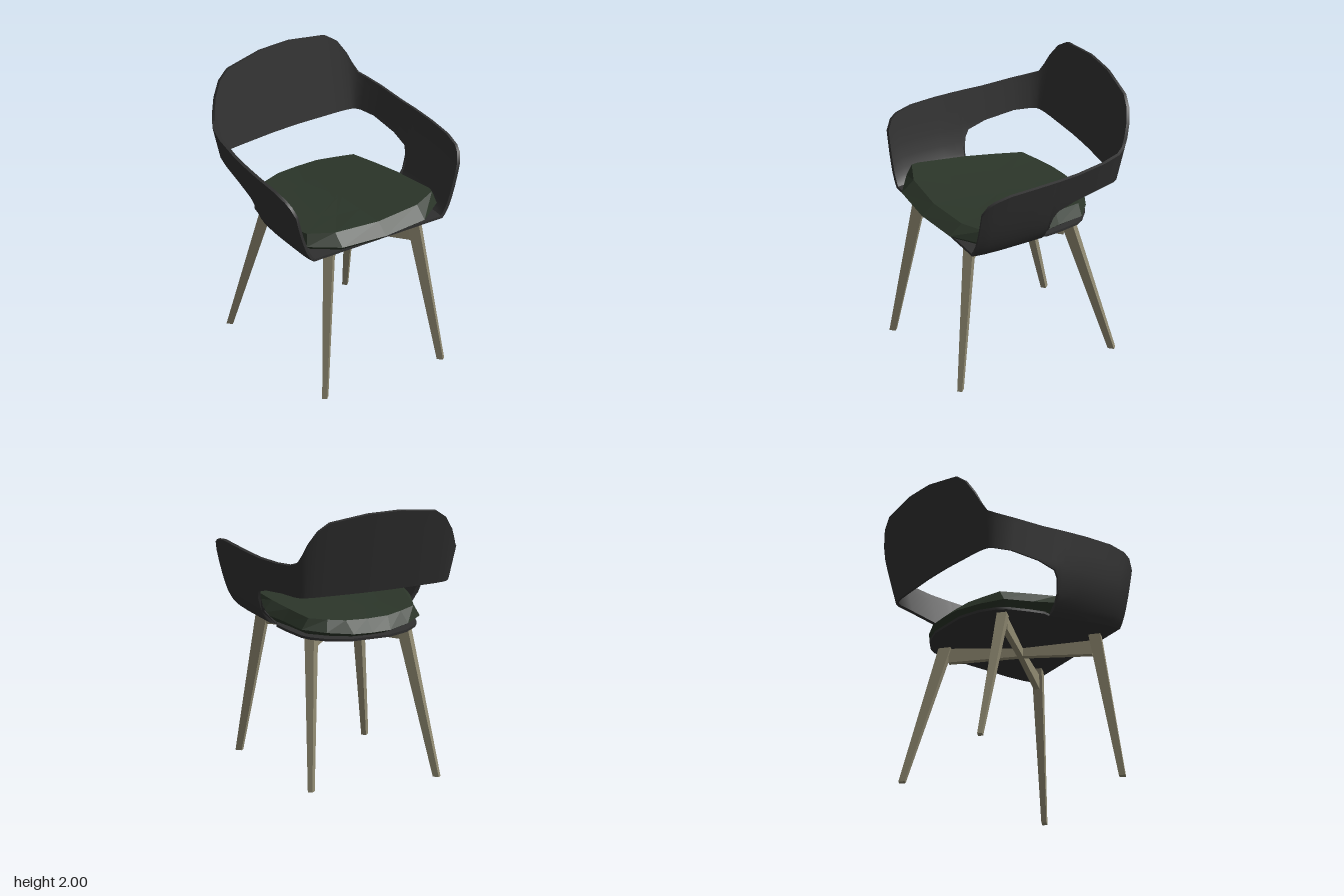
import * as THREE from 'three';
import { toCreasedNormals } from 'three/addons/utils/BufferGeometryUtils.js';

const shellMat = new THREE.MeshStandardMaterial({ color: 0x303030 });
const cushionMat = new THREE.MeshStandardMaterial({ color: 0x2b3529, flatShading: true });
const woodMat = new THREE.MeshStandardMaterial({ color: 0x8f8971, flatShading: true });

const build = (pts, index) => {
  const g = new THREE.BufferGeometry();
  g.setAttribute('position', new THREE.Float32BufferAttribute(pts.flat(), 3));
  g.setIndex(index);
  return g;
};

function addMesh(parent, geometry, material, name) {
  const mesh = new THREE.Mesh(geometry, material);
  mesh.name = name;
  parent.add(mesh);
  return mesh;
}

// Closed solid from rings of equal point count, ends closed with fans
function loft(rings) {
  const n = rings[0].length, pts = rings.flat(), idx = [];
  for (let r = 0; r < rings.length - 1; r++) {
    for (let i = 0; i < n; i++) {
      const a = r * n + i, b = r * n + (i + 1) % n;
      idx.push(a, b, b + n, a, b + n, a + n);
    }
  }
  [0, rings.length - 1].forEach((r, end) => {
    const c = pts.length;
    pts.push([0, 1, 2].map(k => rings[r].reduce((s, p) => s + p[k], 0) / n));
    for (let i = 0; i < n; i++) {
      const a = r * n + i, b = r * n + (i + 1) % n;
      if (end) idx.push(a, b, c); else idx.push(b, a, c);
    }
  });
  // Turn the faces outward if the rings ran the other way
  let volume = 0;
  const v = i => new THREE.Vector3(...pts[i]);
  for (let i = 0; i < idx.length; i += 3) volume += v(idx[i]).dot(v(idx[i + 1]).cross(v(idx[i + 2])));
  if (volume < 0) idx.reverse();
  return build(pts, idx);
}

// Sheet of columns of points, thickened against its normals
function thickSheet(cols, thickness) {
  const R = cols[0].length, C = cols.length, outer = cols.flat(), idx = [];
  for (let c = 0; c < C - 1; c++) {
    for (let r = 0; r < R - 1; r++) {
      const a = c * R + r, b = a + R;
      idx.push(a, b, b + 1, a, b + 1, a + 1);
    }
  }
  const sheet = build(outer, idx);
  sheet.computeVertexNormals();
  const nor = sheet.attributes.normal, N = outer.length;
  const inner = outer.map((p, i) => [
    p[0] - nor.getX(i) * thickness, p[1] - nor.getY(i) * thickness, p[2] - nor.getZ(i) * thickness]);
  const all = [...idx, ...idx.map(i => i + N).reverse()];
  const rim = (a, b) => all.push(a, a + N, b + N, a, b + N, b);
  for (let c = 0; c < C - 1; c++) {
    rim(c * R, (c + 1) * R);
    rim((c + 2) * R - 1, (c + 1) * R - 1);
  }
  for (let r = 0; r < R - 1; r++) {
    rim(r + 1, r);
    rim((C - 1) * R + r, (C - 1) * R + r + 1);
  }
  return toCreasedNormals(build([...outer, ...inner], all), 0.6);
}

const floorY = z => 1.055 + 0.055 * z;

// Outward offset of the shell wall at a given height
const WALL = [[1.03, -0.3], [1.05, -0.26], [1.075, -0.19], [1.11, -0.155], [1.17, -0.12], [1.25, -0.09], [1.35, -0.06], [2, 0.09]];
function flare(y) {
  let i = 0;
  while (i < WALL.length - 2 && y > WALL[i + 1][0]) i++;
  const [[y0, d0], [y1, d1]] = [WALL[i], WALL[i + 1]];
  return d0 + (d1 - d0) * (y - y0) / (y1 - y0);
}

// Wall stations from arm front to back centre: x, z, top y, bottom y (none = seat floor)
const STATIONS = [
  [0.71, 0.61, 1.48], [0.719, 0.57, 1.55], [0.724, 0.52, 1.58], [0.726, 0.4, 1.605],
  [0.725, 0.2, 1.61], [0.718, 0.05, 1.61], [0.717, 0.04, 1.61, 1.17], [0.716, 0.02, 1.61, 1.28],
  [0.713, -0.02, 1.61, 1.33], [0.7, -0.15, 1.61, 1.37], [0.67, -0.37, 1.625, 1.4],
  [0.635, -0.5, 1.64, 1.4], [0.6, -0.553, 1.66, 1.4], [0.57, -0.576, 1.72, 1.4],
  [0.54, -0.588, 1.8, 1.4], [0.48, -0.6, 1.9, 1.4], [0.4, -0.607, 1.96, 1.4],
  [0.12, -0.624, 2, 1.4], [0, -0.625, 2, 1.4]];
const ROWS = [0, 0.03, 0.07, 0.13, 0.22, 0.36, 0.55, 0.78, 1];

function wallColumns() {
  const half = STATIONS.map(([x, z, top, bottom = floorY(z)], i) => {
    const prev = STATIONS[Math.max(i - 1, 0)], next = STATIONS[i + 1];
    let n = new THREE.Vector2(1, 0);
    if (!next) n.set(0, -1);
    else if (z < 0) n.set(prev[1] - next[1], next[0] - prev[0]).normalize();
    return ROWS.map(t => {
      const y = bottom + (top - bottom) * t, d = flare(y);
      return [x + n.x * d, y, z + n.y * d];
    });
  });
  const mirrored = half.slice(0, -1).reverse().map(col => col.map(([x, y, z]) => [-x, y, z]));
  return [...half, ...mirrored];
}

// Seat pan joining the two side walls and tapering to the rear
function panColumns() {
  const edge = STATIONS.slice(0, 6).map(([x, z]) => [x + flare(floorY(z)), z]);
  edge.push([0.5, 0], [0.48, -0.12], [0.44, -0.28], [0.4, -0.34], [0.3, -0.42], [0.15, -0.475]);
  return edge.map(([w, z]) => [-1, -0.5, 0, 0.5, 1].map(s => [w * s, floorY(z), z]));
}

function cushionGeometry() {
  const mid = [[0, 0.71], [0.34, 0.68], [0.54, 0.53], [0.555, 0.45], [0.565, 0.1], [0.5, -0.1],
    [0.45, -0.31], [0.31, -0.42], [0.14, -0.5], [0, -0.51]];
  const top = [[0, 0.615], [0.34, 0.585], [0.52, 0.5], [0.53, 0.45], [0.49, 0.1], [0.45, -0.1],
    [0.4, -0.31], [0.28, -0.365], [0.16, -0.41], [0, -0.42]];
  const full = half => [...half, ...half.slice(1, -1).reverse().map(([x, z]) => [-x, z])];
  const ring = (half, s, h) => full(half).map(([x, z]) => {
    const X = x * s, Z = 0.1 + (z - 0.1) * s;
    return [X, h(X, Z), Z];
  });
  const topY = (x, z) => 1.195 + 0.075 * z + 0.08 * x * x;
  return loft([
    ring(mid, 0.86, (x, z) => floorY(z) + 0.015),
    ring(mid, 1, (x, z) => 1.12 + 0.07 * z + 0.04 * x * x),
    ring(top, 1, topY), ring(top, 0.55, topY), ring(top, 0.1, topY)]);
}

export function createModel() {
  const chair = new THREE.Group();
  chair.name = 'armchair';

  addMesh(chair, thickSheet(wallColumns(), 0.022), shellMat, 'armsAndBackrest');
  addMesh(chair, thickSheet(panColumns(), 0.018), shellMat, 'seatPan');
  addMesh(chair, cushionGeometry(), cushionMat, 'seatCushion');

  const k = Math.SQRT1_2;
  for (const sx of [1, -1]) {
    for (const front of [true, false]) {
      const sz = front ? 1 : -1, side = sx > 0 ? 'Left' : 'Right', end = front ? 'front' : 'rear';

      // Tapered leg with its section turned to the diagonal
      const section = (x, y, z, radial, width) => [[1, 1], [1, -1], [-1, -1], [-1, 1]].map(([a, b]) => {
        const r = a * radial / 2, w = b * width / 2;
        return [sx * (x + (r + w) * k), y, z + sz * (r - w) * k];
      });
      const leg = front
        ? [section(0.478, 0, 0.67, 0.045, 0.035), section(0.35, 1.09, 0.525, 0.085, 0.07)]
        : [section(0.478, 0, -0.53, 0.045, 0.035), section(0.35, 1.045, -0.25, 0.085, 0.07)];
      addMesh(chair, loft(leg), woodMat, `${end}${side}Leg`);

      // Half of a diagonal rail, deeper towards the leg
      const railEnd = (x, z, low, high) => [[1, low], [-1, low], [-1, high], [1, high]].map(([b, y]) =>
        [sx * (x + b * 0.02 * k), y, z - sz * b * 0.02 * k]);
      const rail = [railEnd(0, 0.14, 0.95, 1.01), railEnd(0.34, 0.14 + sz * 0.37, 0.935, 1.04)];
      addMesh(chair, loft(rail), woodMat, `${end}${side}Rail`);
    }
  }
  return chair;
}
